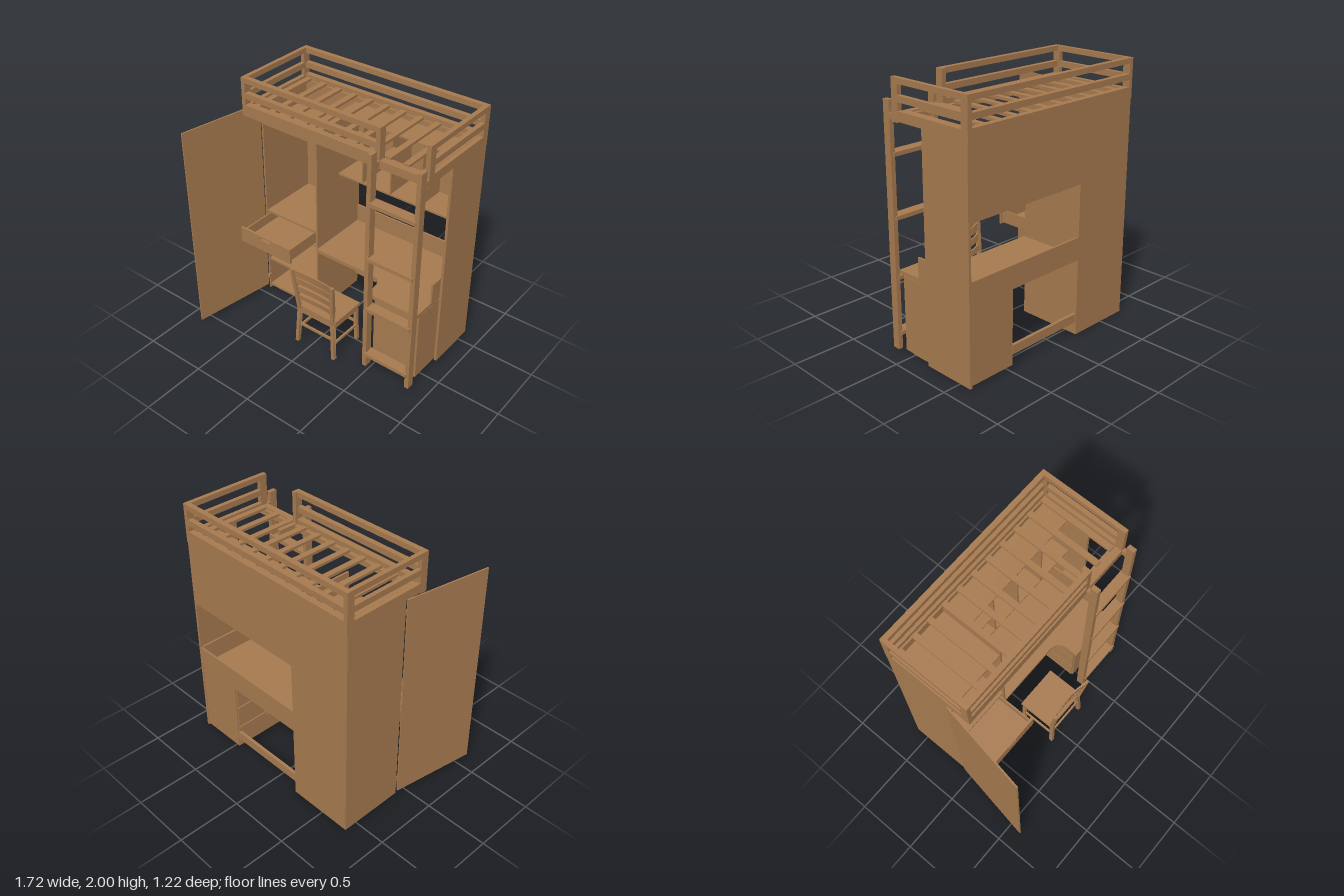
import * as THREE from 'three';

const wood = new THREE.MeshStandardMaterial({ color: 0xa87b50 });
wood.name = 'wood';

// Box given by its min and max on every axis
function slab(parent, name, x0, x1, y0, y1, z0, z1) {
  const m = new THREE.Mesh(new THREE.BoxGeometry(x1 - x0, y1 - y0, z1 - z0), wood);
  m.position.set((x0 + x1) / 2, (y0 + y1) / 2, (z0 + z1) / 2);
  m.name = name;
  parent.add(m);
  return m;
}

function section(parent, name) {
  const g = new THREE.Group();
  g.name = name;
  parent.add(g);
  return g;
}

// Flat outline extruded along its local z
function extruded(parent, name, shape, depth) {
  const geo = new THREE.ExtrudeGeometry(shape, { depth, bevelEnabled: false, curveSegments: 10 });
  const m = new THREE.Mesh(geo, wood);
  m.name = name;
  parent.add(m);
  return m;
}

function outline(points) {
  return new THREE.Shape(points.map(([x, y]) => new THREE.Vector2(x, y)));
}

function buildBed(root) {
  const bed = section(root, 'bed');
  // Lower frame
  slab(bed, 'frontRail', -0.74, 0.475, 1.70, 1.79, 0.06, 0.11);
  slab(bed, 'entryRail', 0.475, 0.86, 1.70, 1.76, 0.06, 0.11);
  slab(bed, 'backRail', -0.74, 0.86, 1.70, 1.79, -0.61, -0.565);
  slab(bed, 'leftEndRail', 0.825, 0.86, 1.71, 1.78, -0.565, 0.06);
  slab(bed, 'rightEndRail', -0.74, -0.705, 1.71, 1.78, -0.565, 0.06);
  slab(bed, 'frontLedge', -0.705, 0.825, 1.71, 1.75, 0.03, 0.06);
  slab(bed, 'backLedge', -0.705, 0.825, 1.71, 1.75, -0.565, -0.55);
  // Slats
  for (let i = 0; i < 11; i++) {
    const x = -0.671 + i * 0.1462;
    slab(bed, 'slat', x - 0.023, x + 0.023, 1.75, 1.77, -0.56, 0.05);
  }
  // Guard posts
  for (const [x0, x1] of [[-0.74, -0.708], [0.825, 0.86]]) {
    slab(bed, 'guardPost', x0, x1, 1.76, 2, 0.05, 0.11);
    slab(bed, 'guardPost', x0, x1, 1.76, 2, -0.61, -0.55);
  }
  slab(bed, 'entryPost', 0.44, 0.475, 1.70, 2, 0.05, 0.11);
  // Guard bars
  for (const [y0, y1] of [[1.84, 1.885], [1.96, 2]]) {
    slab(bed, 'frontGuardBar', -0.708, 0.44, y0, y1, 0.07, 0.11);
    slab(bed, 'backGuardBar', -0.708, 0.825, y0, y1, -0.61, -0.57);
    slab(bed, 'rightGuardBar', -0.74, -0.708, y0, y1, -0.55, 0.05);
    slab(bed, 'leftGuardBar', 0.825, 0.86, y0, y1, -0.55, 0.05);
  }
}

function buildWardrobe(root) {
  const w = section(root, 'wardrobe');
  slab(w, 'outerSide', -0.74, -0.725, 0, 1.71, -0.605, -0.08);
  slab(w, 'innerSide', -0.225, -0.21, 0, 1.70, -0.605, -0.08);
  slab(w, 'back', -0.725, -0.225, 0, 1.70, -0.605, -0.59);
  for (const y of [0.025, 0.29, 0.765, 1.548]) slab(w, 'shelf', -0.725, -0.225, y, y + 0.018, -0.59, -0.085);
  slab(w, 'drawerSupport', -0.725, -0.225, 0.635, 0.65, -0.59, -0.085);
  slab(w, 'bottom', -0.725, -0.225, 0.005, 0.025, -0.59, -0.1);
  // Hinges and open door
  for (const y of [0.13, 1.61]) slab(w, 'hinge', -0.735, -0.715, y - 0.02, y + 0.02, -0.085, -0.06);
  const hinge = section(w, 'door');
  hinge.position.set(-0.742, 0, -0.075);
  hinge.rotation.y = -Math.atan2(0.11, 0.68);
  slab(hinge, 'doorPanel', -0.012, 0, 0.03, 1.72, 0, 0.69);

  // Pulled-out drawer with a slot for the hand
  const d = section(w, 'drawer');
  const face = outline([[-0.728, 0.65], [-0.235, 0.65], [-0.235, 0.778], [-0.728, 0.778]]);
  const slot = new THREE.Path();
  slot.moveTo(-0.52, 0.742);
  slot.lineTo(-0.445, 0.742);
  slot.absarc(-0.445, 0.753, 0.011, -Math.PI / 2, Math.PI / 2, false);
  slot.lineTo(-0.52, 0.764);
  slot.absarc(-0.52, 0.753, 0.011, Math.PI / 2, Math.PI * 1.5, false);
  face.holes.push(slot);
  extruded(d, 'drawerFront', face, 0.02).position.z = 0.2;
  for (const x of [-0.71, -0.262]) slab(d, 'drawerSide', x, x + 0.012, 0.66, 0.76, -0.25, 0.2);
  slab(d, 'drawerBack', -0.698, -0.262, 0.66, 0.76, -0.25, -0.238);
  slab(d, 'drawerBottom', -0.698, -0.262, 0.67, 0.68, -0.238, 0.2);
}

function buildShelves(root) {
  const s = section(root, 'upperShelves');
  slab(s, 'back', -0.21, 0.84, 1.18, 1.70, -0.605, -0.59);
  slab(s, 'bottom', -0.21, 0.84, 1.18, 1.195, -0.59, -0.34);
  slab(s, 'top', -0.21, 0.84, 1.688, 1.70, -0.59, -0.34);
  for (const x of [0.013, 0.265, 0.525]) slab(s, 'divider', x - 0.006, x + 0.006, 1.195, 1.688, -0.59, -0.34);
  slab(s, 'smallShelf', -0.21, 0.007, 1.44, 1.453, -0.59, -0.34);
}

function buildDesk(root) {
  const desk = section(root, 'desk');
  // L-shaped top with a rounded inner corner, drawn as x and -z
  const top = new THREE.Shape();
  top.moveTo(-0.21, 0.59);
  top.lineTo(-0.21, 0.07);
  top.lineTo(0.31, 0.07);
  top.quadraticCurveTo(0.41, 0.07, 0.41, -0.03);
  top.lineTo(0.41, -0.12);
  top.lineTo(0.84, -0.12);
  top.lineTo(0.84, 0.59);
  const t = extruded(desk, 'deskTop', top, 0.03);
  t.rotation.x = -Math.PI / 2;
  t.position.y = 0.603;
  slab(desk, 'backBoard', -0.21, 0.84, 0.603, 0.78, -0.605, -0.59);
  slab(desk, 'sideBoard', 0.825, 0.84, 0.633, 0.79, -0.59, -0.08);
  slab(desk, 'sidePanel', 0.84, 0.86, 0.005, 1.76, -0.605, -0.18);
  slab(desk, 'footRail', -0.21, 0.45, 0.1, 0.17, -0.6, -0.575);
  // Drawer unit opening towards the knee space
  const p = section(desk, 'pedestal');
  slab(p, 'pedestalBody', 0.455, 0.84, 0.02, 0.6, -0.6, 0.08);
  slab(p, 'pedestalPlinth', 0.47, 0.83, 0.005, 0.02, -0.58, 0.02);
  for (let i = 0; i < 3; i++) {
    const y = 0.03 + i * 0.19;
    slab(p, 'pedestalDrawer', 0.445, 0.455, y, y + 0.18, -0.59, 0.07);
    slab(p, 'pedestalHandle', 0.435, 0.445, y + 0.15, y + 0.165, -0.32, -0.2);
  }
}

function buildLadder(root) {
  const l = section(root, 'ladder');
  for (const x of [0.44, 0.825]) {
    slab(l, 'ladderPost', x, x + 0.035, 0.005, 1.84, 0.14, 0.2);
    slab(l, 'ladderArm', x, x + 0.034, 1.712, 1.758, -0.1, 0.14);
  }
  for (const y of [0.13, 0.565, 1.01, 1.465]) slab(l, 'rung', 0.457, 0.843, y - 0.015, y + 0.015, 0.13, 0.212);
}

function buildChair(root) {
  const c = section(root, 'chair');
  c.position.x = 0.075;
  slab(c, 'seat', -0.183, 0.183, 0.352, 0.38, -0.01, 0.295);
  slab(c, 'rearApron', -0.16, 0.16, 0.31, 0.352, 0.275, 0.29);
  slab(c, 'frontApron', -0.16, 0.16, 0.31, 0.352, 0.005, 0.02);
  slab(c, 'rearStretcher', -0.16, 0.16, 0.19, 0.21, 0.285, 0.3);
  slab(c, 'frontStretcher', -0.16, 0.16, 0.19, 0.21, 0.005, 0.02);
  // Bent rear posts, drawn as -z and y
  const profile = outline([[-0.32, 0.03], [-0.29, 0.03], [-0.275, 0.35], [-0.293, 0.5], [-0.325, 0.735],
    [-0.35, 0.735], [-0.325, 0.5], [-0.308, 0.35]]);
  for (const s of [-1, 1]) {
    const post = extruded(c, 'rearPost', profile, 0.028);
    post.rotation.y = Math.PI / 2;
    // Posts splay outwards above and below the seat
    const pos = post.geometry.attributes.position;
    for (let i = 0; i < pos.count; i++) {
      const y = pos.getY(i);
      const splay = y > 0.35 ? (y - 0.35) * 0.07 : (0.35 - y) * 0.055;
      pos.setZ(i, pos.getZ(i) - 0.014 + s * (0.158 + splay));
    }
    post.geometry.computeVertexNormals();
    const leg = slab(c, 'frontLeg', s * 0.163 - 0.014, s * 0.163 + 0.014, 0.03, 0.352, -0.005, 0.023);
    leg.rotation.z = s * 0.05;
    slab(c, 'sideApron', s * 0.163 - 0.008, s * 0.163 + 0.008, 0.31, 0.352, 0.02, 0.28);
    slab(c, 'sideStretcher', s * 0.166 - 0.008, s * 0.166 + 0.008, 0.155, 0.175, 0.02, 0.292);
  }
  // Curved back slats, bowed towards the seat and leaning with the posts
  for (const [y, h] of [[0.7, 0.062], [0.63, 0.055], [0.548, 0.052], [0.465, 0.045]]) {
    const geo = new THREE.BoxGeometry(0.335, h, 0.012, 12, 1, 1);
    const pos = geo.attributes.position;
    for (let i = 0; i < pos.count; i++) {
      const bow = 1 - (pos.getX(i) / 0.17) ** 2;
      pos.setZ(i, pos.getZ(i) + pos.getY(i) * 0.12 - bow * 0.03);
      pos.setY(i, pos.getY(i) - bow * 0.022);
    }
    geo.computeVertexNormals();
    const slat = new THREE.Mesh(geo, wood);
    slat.name = 'backSlat';
    slat.position.set(0, y + 0.005, 0.308 + (y - 0.5) * 0.12);
    c.add(slat);
  }
}

export function createModel() {
  const root = new THREE.Group();
  root.name = 'loftBedWithDesk';
  for (const build of [buildBed, buildWardrobe, buildShelves, buildDesk, buildLadder, buildChair]) build(root);
  return root;
}
